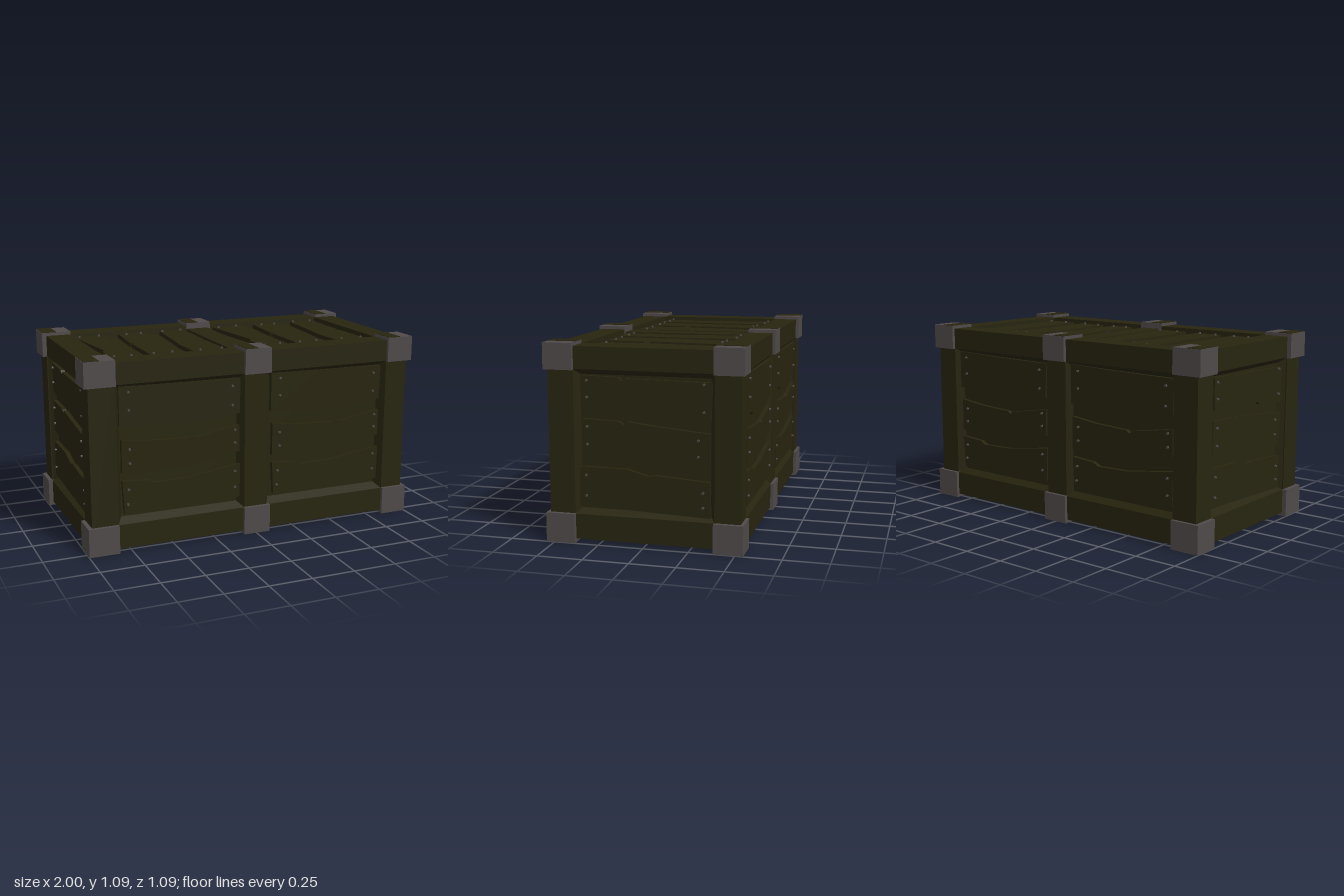
import * as THREE from 'three';

const wood = new THREE.MeshStandardMaterial({ color: 0x27240f });
wood.name = 'dark olive wood';
const metal = new THREE.MeshStandardMaterial({ color: 0x504a4a });
metal.name = 'grey metal';

function add(parent, name, geometry, material) {
  const mesh = new THREE.Mesh(geometry, material);
  mesh.name = name;
  parent.add(mesh);
  return mesh;
}

// Box given by its lower and upper limits on each axis
function block(parent, name, [x0, x1], [y0, y1], [z0, z1], material = wood) {
  const mesh = add(parent, name, new THREE.BoxGeometry(x1 - x0, y1 - y0, z1 - z0), material);
  mesh.position.set((x0 + x1) / 2, (y0 + y1) / 2, (z0 + z1) / 2);
  return mesh;
}

// Four sloped faces leading from a frame opening down to its recessed panel
function bevel(parent, [x0, x1, y0, y1], inset, depth) {
  const outer = [[x0, y0], [x1, y0], [x1, y1], [x0, y1]];
  const m = inset;
  const inner = [[x0 + m, y0 + m], [x1 - m, y0 + m], [x1 - m, y1 - m], [x0 + m, y1 - m]];
  const points = [];
  for (let i = 0; i < 4; i++) {
    const j = (i + 1) % 4;
    const a = [...outer[i], 0], b = [...outer[j], 0];
    const c = [...inner[j], -depth], d = [...inner[i], -depth];
    points.push(...a, ...b, ...c, ...a, ...c, ...d);
  }
  const geometry = new THREE.BufferGeometry();
  geometry.setAttribute('position', new THREE.Float32BufferAttribute(points, 3));
  geometry.computeVertexNormals();
  add(parent, 'frameBevel', geometry, wood);
}

// Worn plank outlines [x, y] with two nails at each end
const longPlanks = [
  {
    outline: [[-0.8, 0.71], [-0.66, 0.705], [-0.64, 0.69], [-0.62, 0.7], [-0.44, 0.68], [-0.26, 0.695], [-0.09, 0.72],
      [-0.085, 0.92], [-0.5, 0.925], [-0.8, 0.935]],
    nails: [[-0.745, 0.9], [-0.745, 0.8], [-0.135, 0.88], [-0.135, 0.77]],
  },
  {
    outline: [[-0.79, 0.445], [-0.6, 0.435], [-0.4, 0.445], [-0.09, 0.495],
      [-0.09, 0.65], [-0.36, 0.605], [-0.38, 0.59], [-0.4, 0.605], [-0.62, 0.615], [-0.79, 0.635]],
    nails: [[-0.745, 0.58], [-0.745, 0.5], [-0.12, 0.625], [-0.12, 0.55]],
  },
  {
    outline: [[-0.78, 0.21], [-0.45, 0.21], [-0.09, 0.22],
      [-0.085, 0.42], [-0.4, 0.375], [-0.6, 0.37], [-0.64, 0.39], [-0.79, 0.4]],
    nails: [[-0.755, 0.35], [-0.76, 0.265], [-0.12, 0.38], [-0.12, 0.285]],
  },
];
const endPlanks = [
  {
    outline: [[-0.34, 0.74], [0.07, 0.712], [0.1, 0.73], [0.12, 0.71], [0.36, 0.695],
      [0.37, 0.9], [-0.1, 0.905], [-0.12, 0.89], [-0.14, 0.91], [-0.34, 0.915]],
    nails: [[-0.315, 0.89], [-0.315, 0.8], [0.325, 0.89], [0.325, 0.745]],
  },
  {
    outline: [[-0.35, 0.49], [-0.1, 0.485], [0.1, 0.455], [0.32, 0.438], [0.355, 0.46],
      [0.36, 0.63], [0.08, 0.655], [-0.09, 0.675], [-0.115, 0.658], [-0.14, 0.675], [-0.345, 0.682]],
    nails: [[-0.315, 0.642], [-0.315, 0.545], [0.295, 0.595], [0.295, 0.508]],
  },
  {
    outline: [[-0.365, 0.205], [0.36, 0.178], [0.355, 0.372], [0.06, 0.392], [0.02, 0.385], [-0.1, 0.418], [-0.36, 0.42]],
    nails: [[-0.325, 0.375], [-0.325, 0.262], [0.32, 0.315], [0.32, 0.235]],
  },
];
const lidPlanks = [
  {
    outline: [[-0.785, -0.345], [-0.62, -0.345], [-0.62, -0.12], [-0.605, 0], [-0.61, 0.37], [-0.81, 0.37],
      [-0.77, 0.02], [-0.755, -0.1], [-0.775, -0.13]],
    nails: [[-0.76, -0.305], [-0.66, -0.305], [-0.78, 0.345], [-0.66, 0.345]],
  },
  {
    outline: [[-0.55, -0.335], [-0.37, -0.34], [-0.365, -0.12], [-0.38, -0.09], [-0.375, 0], [-0.345, 0.3],
      [-0.37, 0.37], [-0.53, 0.37], [-0.55, 0.07], [-0.53, 0.05], [-0.55, 0.03]],
    nails: [[-0.53, -0.305], [-0.42, -0.305], [-0.49, 0.325], [-0.4, 0.32]],
  },
  {
    outline: [[-0.29, -0.345], [-0.095, -0.355], [-0.105, -0.02], [-0.12, 0], [-0.105, 0.02], [-0.1, 0.37],
      [-0.26, 0.37], [-0.28, 0.1], [-0.3, -0.1]],
    nails: [[-0.25, -0.305], [-0.12, -0.305], [-0.25, 0.345], [-0.13, 0.345]],
  },
];

const plankThickness = 0.025;
const nailGeometry = new THREE.CylinderGeometry(0.007, 0.008, 0.02, 6).rotateX(Math.PI / 2);

// One panel of planks, in a face frame whose z points outward from the crate
function plankPanel(face, planks, depth, shift) {
  const panel = new THREE.Group();
  panel.name = 'plankPanel';
  panel.position.x = shift;
  face.add(panel);
  for (const { outline, nails } of planks) {
    const shape = new THREE.Shape(outline.map(([x, y]) => new THREE.Vector2(x, y)));
    const geometry = new THREE.ExtrudeGeometry(shape, { depth: plankThickness, bevelEnabled: false });
    add(panel, 'plank', geometry, wood).position.z = -depth;
    for (const [x, y] of nails) {
      add(panel, 'nail', nailGeometry, metal).position.set(x, y, -depth + plankThickness);
    }
  }
}

function makeFace(parent, name, position, rotation) {
  const face = new THREE.Group();
  face.name = name;
  face.position.set(...position);
  face.rotation.set(...rotation);
  parent.add(face);
  return face;
}

export function createModel() {
  const crate = new THREE.Group();
  crate.name = 'crate';

  // Inner body whose sides form the recessed panels
  block(crate, 'body', [-0.93, 0.93], [0.06, 1.03], [-0.495, 0.475]);

  // Frame: rails along the length, corner and middle posts, end rails
  const levels = [[0.02, 0.16], [0.95, 1.072]];
  for (const z of [[-0.527, -0.385], [0.385, 0.527]]) {
    for (const y of levels) block(crate, 'longRail', [-0.972, 0.972], y, z);
    for (const x of [[-0.976, -0.825], [-0.07, 0.072], [0.84, 0.976]]) {
      block(crate, 'post', x, [0.02, 1.07], z);
    }
  }
  for (const x of [[-0.974, -0.825], [0.835, 0.974]]) {
    for (const y of levels) block(crate, 'endRail', x, y, [-0.4, 0.4]);
  }
  block(crate, 'lidBeam', [-0.075, 0.065], [1, 1.055], [-0.4, 0.4]);
  block(crate, 'baseBeam', [-0.075, 0.065], [0.035, 0.1], [-0.4, 0.4]);

  // Long sides
  const front = makeFace(crate, 'frontSide', [0, 0, 0.527], [0, 0, 0]);
  const back = makeFace(crate, 'backSide', [0, 0, -0.527], [0, Math.PI, 0]);
  for (const [face, depth] of [[front, 0.052], [back, 0.032]]) {
    for (const shift of [0, 0.905]) plankPanel(face, longPlanks, depth, shift);
    bevel(face, [-0.825, -0.07, 0.16, 0.95], 0.03, depth);
    bevel(face, [0.07, 0.84, 0.16, 0.95], 0.03, depth);
  }

  // Ends
  for (const s of [-1, 1]) {
    const face = makeFace(crate, s > 0 ? 'leftEnd' : 'rightEnd', [s * 0.974, 0, 0], [0, s * Math.PI / 2, 0]);
    plankPanel(face, endPlanks, 0.044, 0);
    bevel(face, [-0.388, 0.388, 0.157, 0.95], 0.03, 0.044);
  }

  // Lid and base
  const lid = makeFace(crate, 'lid', [0, 1.07, 0], [-Math.PI / 2, 0, 0]);
  const base = makeFace(crate, 'base', [0, 0.02, 0], [Math.PI / 2, 0, 0]);
  for (const face of [lid, base]) {
    for (const shift of [0, 0.91]) plankPanel(face, lidPlanks, 0.04, shift);
  }

  // Metal brackets, with the worn wood patch on top of the upper ones
  for (const [x0, x1] of [[-1, -0.825], [-0.075, 0.085], [0.84, 1]]) {
    for (const z of [[-0.545, -0.383], [0.383, 0.545]]) {
      block(crate, 'lowerBracket', [x0, x1], [0, 0.163], z, metal);
      block(crate, 'upperBracket', [x0, x1], [0.946, 1.09], z, metal);
      block(crate, 'bracketPatch', [x0 + 0.004, (x0 + x1) / 2], [1.089, 1.093], [z[0] + 0.003, z[1] - 0.003]);
    }
  }
  return crate;
}
